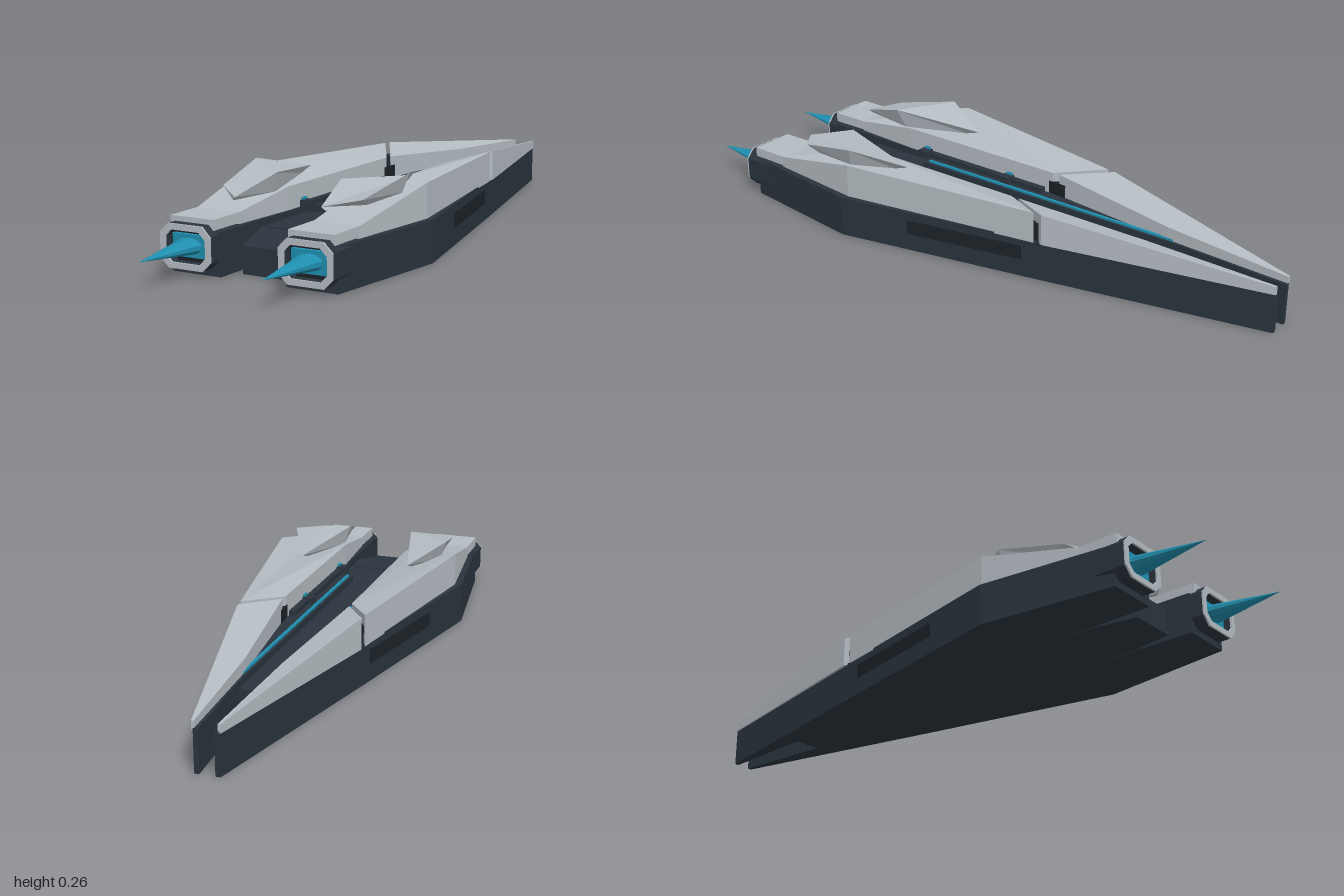
import * as THREE from 'three';

const mat = (color) => new THREE.MeshStandardMaterial({ color, flatShading: true });

export function createModel() {
  const ship = new THREE.Group();
  ship.name = 'ship';
  const armour = mat(0xb4bcc2), hullMat = mat(0x2a343d), dark = mat(0x1b2227), glow = mat(0x1f8fb0);

  const add = (parent, name, geometry, material, x = 0, y = 0, z = 0) => {
    const m = new THREE.Mesh(geometry, material);
    m.name = name;
    m.position.set(x, y, z);
    parent.add(m);
    return m;
  };

  // Closed solid between two matching loops of [x, y, z]; s mirrors it across x
  const solid = (top, bottom, s = 1) => {
    let pts = top.map((t, i) => [t, bottom[i]].map(([x, y, z]) => [x * s, y, z]));
    const plan = () => pts.map(([t]) => new THREE.Vector2(t[0], t[2]));
    if (THREE.ShapeUtils.area(plan()) < 0) pts.reverse();
    const out = [];
    pts.forEach(([bi, ai], i) => {
      const [bj, aj] = pts[(i + 1) % pts.length];
      out.push(...ai, ...bi, ...bj, ...ai, ...bj, ...aj);
    });
    for (const [a, b, c] of THREE.ShapeUtils.triangulateShape(plan(), [])) {
      out.push(...pts[a][0], ...pts[c][0], ...pts[b][0]);
      out.push(...pts[a][1], ...pts[b][1], ...pts[c][1]);
    }
    const g = new THREE.BufferGeometry();
    g.setAttribute('position', new THREE.Float32BufferAttribute(out, 3));
    g.computeVertexNormals();
    return g;
  };
  // Plan outline of [x, z, topY] standing on a flat base
  const slab = (outline, base, s = 1) => solid(
    outline.map(([x, z, y]) => [x, y, z]), outline.map(([x, z]) => [x, base, z]), s);

  // Rectangle with cut corners
  const octagon = (path, w, h, c) => {
    const p = [[w - c, -h], [w, c - h], [w, h - c], [w - c, h], [c - w, h], [-w, h - c], [-w, c - h], [c - w, -h]];
    path.setFromPoints(p.map(([x, y]) => new THREE.Vector2(x, y)));
    return path;
  };
  const octagonRing = (w, h, c, t, depth) => {
    const shape = octagon(new THREE.Shape(), w, h, c);
    shape.holes.push(octagon(new THREE.Path(), w - t, h - t, c * 0.75));
    return new THREE.ExtrudeGeometry(shape, { depth, bevelEnabled: false });
  };

  // Central deck joining the two prongs
  add(ship, 'centreDeck', slab([
    [-0.05, -0.68, 0.105], [0.05, -0.68, 0.105], [0.1, 0.3, 0.105], [0.1, 0.565, 0.105],
    [-0.1, 0.565, 0.105], [-0.1, 0.3, 0.105]], 0), hullMat);
  add(ship, 'deckTail', slab([
    [-0.1, 0.565, 0.105], [0.1, 0.565, 0.105], [0.075, 0.7, 0.08], [-0.075, 0.7, 0.08]], 0), hullMat);
  add(ship, 'deckStep', new THREE.BoxGeometry(0.18, 0.012, 0.1), hullMat, 0, 0.102, 0.517);

  for (const s of [1, -1]) {
    const side = new THREE.Group();
    side.name = s > 0 ? 'leftProng' : 'rightProng';
    ship.add(side);

    // Dark lower hull
    const Y = 0.125;
    add(side, 'lowerHull', slab([
      [0.022, -1, Y], [0.036, -1, Y], [0.187, -0.3, Y], [0.32, 0.34, Y], [0.275, 0.68, Y], [0.265, 0.76, Y],
      [0.105, 0.76, Y], [0.1, 0.32, Y], [0.045, 0.32, Y], [0.045, -0.66, Y]], 0, s), hullMat);

    // Flank panel lying along the hull wall
    const panel = add(side, 'flankPanel', new THREE.BoxGeometry(0.03, 0.045, 0.38), dark, s * 0.22, 0.076, -0.07);
    panel.rotation.y = s * 0.205;

    // Armour plates, higher on the outside edge
    add(side, 'noseArmour', slab([
      [0.03, -1, 0.145], [0.04, -1, 0.145], [0.19, -0.325, 0.215], [0.105, -0.18, 0.195],
      [0.055, -0.6, 0.165]].map(([x, z, y], i) => i === 0 ? [0.032, z, y] : [x, z, y]), 0.12, s), armour);
    add(side, 'mainArmour', slab([
      [0.192, -0.3, 0.216], [0.298, 0.33, 0.228], [0.262, 0.65, 0.158], [0.12, 0.65, 0.158],
      [0.105, 0.42, 0.195], [0.105, -0.155, 0.195]], 0.12, s), armour);
    add(side, 'armourSeam', slab([
      [0.18, -0.33, 0.18], [0.185, -0.28, 0.18], [0.105, -0.14, 0.165], [0.1, -0.2, 0.165]], 0.12, s), dark);

    // Raised fin plate with an undercut tail
    const fin = [[0.175, 0.217, 0.19], [0.258, 0.257, 0.36], [0.228, 0.212, 0.57], [0.14, 0.197, 0.64], [0.106, 0.245, 0.48]];
    const finBase = fin.map(([x, , z], i) => [
      0.18 + (x - 0.18) * 0.75, [0.2, 0.2, 0.19, 0.186, 0.185][i], 0.4 + (z - 0.4) * (i === 3 ? 0.97 : 0.75)]);
    add(side, 'finPlate', solid(fin, finBase, s), armour);

    // Rear cap over the engine
    add(side, 'engineCap', new THREE.BoxGeometry(0.143, 0.03, 0.15), armour, s * 0.19, 0.144, 0.695);

    // Engine housing, pale rim, glowing nozzle and flame
    const engine = new THREE.Group();
    engine.name = 'engine';
    engine.position.set(s * 0.191, 0.082, 0);
    side.add(engine);
    add(engine, 'engineHousing', octagonRing(0.083, 0.062, 0.027, 0.016, 0.1), hullMat, 0, 0, 0.698);
    add(engine, 'engineRim', octagonRing(0.083, 0.062, 0.027, 0.017, 0.006), armour, 0, 0, 0.797);
    add(engine, 'nozzleBack', new THREE.BoxGeometry(0.135, 0.095, 0.03), dark, 0, 0, 0.755);
    add(engine, 'nozzleGlow', new THREE.BoxGeometry(0.112, 0.064, 0.02), glow, 0, 0, 0.772);
    const flame = new THREE.ConeGeometry(1, 0.22, 10);
    flame.rotateX(Math.PI / 2);
    flame.scale(0.043, 0.024, 1);
    add(engine, 'flame', flame, glow, 0, 0, 0.89);

    // Light strip and small fittings along the inner ledge
    add(side, 'lightStrip', new THREE.BoxGeometry(0.009, 0.008, 0.92), glow, s * 0.057, 0.127, -0.16);
    add(side, 'innerRail', new THREE.BoxGeometry(0.02, 0.02, 0.45), hullMat, s * 0.095, 0.13, 0.1);
    for (const z of [0.01, 0.345]) {
      add(side, 'fitting', new THREE.BoxGeometry(0.036, 0.024, 0.035), hullMat, s * 0.092, 0.133, z);
      add(side, 'fittingLamp', new THREE.BoxGeometry(0.01, 0.008, 0.02), glow, s * 0.103, 0.148, z);
    }
  }
  return ship;
}
